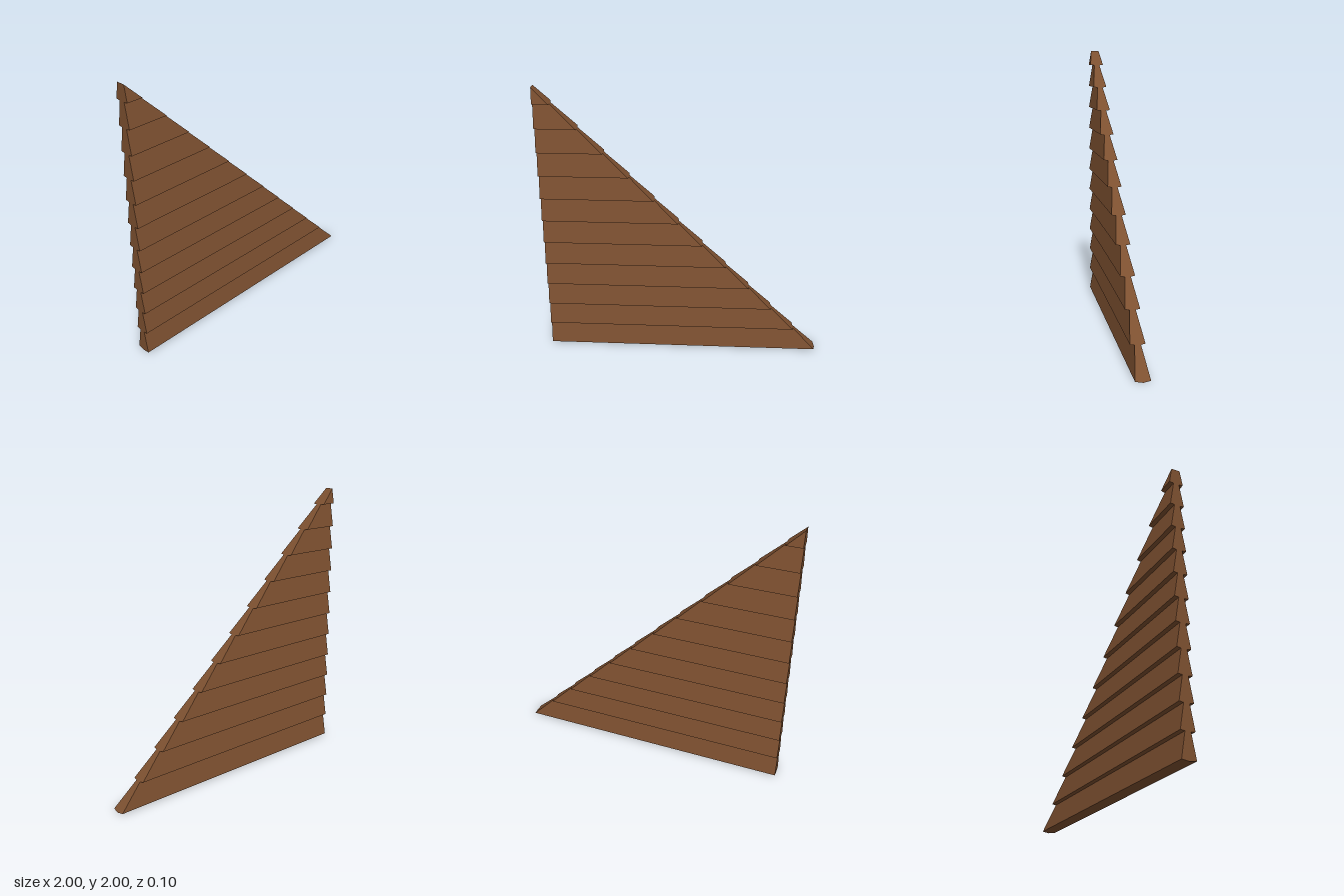
import * as THREE from 'three';

const ROWS = 12;
const PITCH = 0.1712; // height of one visible board
const LIP = 0.05;     // half thickness at a board's lower edge
const NECK = 0.02;    // half thickness where the next board begins
const DROP = 0.007;   // undersides slope down towards the middle
const TOP = 2;

// One row of siding: tapered on front and back, cut off along the slope x = 1 - y.
function boardGeometry(row) {
  const y0 = row * PITCH;
  const lipY = y0 + DROP;
  const neckY = y0 + PITCH + DROP * (1 - NECK / LIP);
  const topY = Math.min(neckY, TOP);
  const topHalf = THREE.MathUtils.mapLinear(topY, lipY, neckY, LIP, NECK);

  const profile = new THREE.Shape([
    [0, y0], [LIP, lipY], [topHalf, topY], [-topHalf, topY], [-LIP, lipY],
  ].map(([z, y]) => new THREE.Vector2(z, y)));
  const geometry = new THREE.ExtrudeGeometry(profile, { depth: 1, bevelEnabled: false });

  // Turn the extrusion along x and stretch each height to its own length
  const p = geometry.attributes.position;
  for (let i = 0; i < p.count; i++) {
    const y = p.getY(i);
    p.setXYZ(i, -1 + p.getZ(i) * (TOP - y), y, -p.getX(i));
  }
  geometry.computeVertexNormals();
  return geometry;
}

export function createModel() {
  const group = new THREE.Group();
  group.name = 'triangularSidingWall';
  const wood = new THREE.MeshStandardMaterial({ color: 0x7d5030, flatShading: true });
  for (let row = 0; row < ROWS; row++) {
    const board = new THREE.Mesh(boardGeometry(row), wood);
    board.name = `sidingBoard${row + 1}`;
    group.add(board);
  }
  return group;
}
